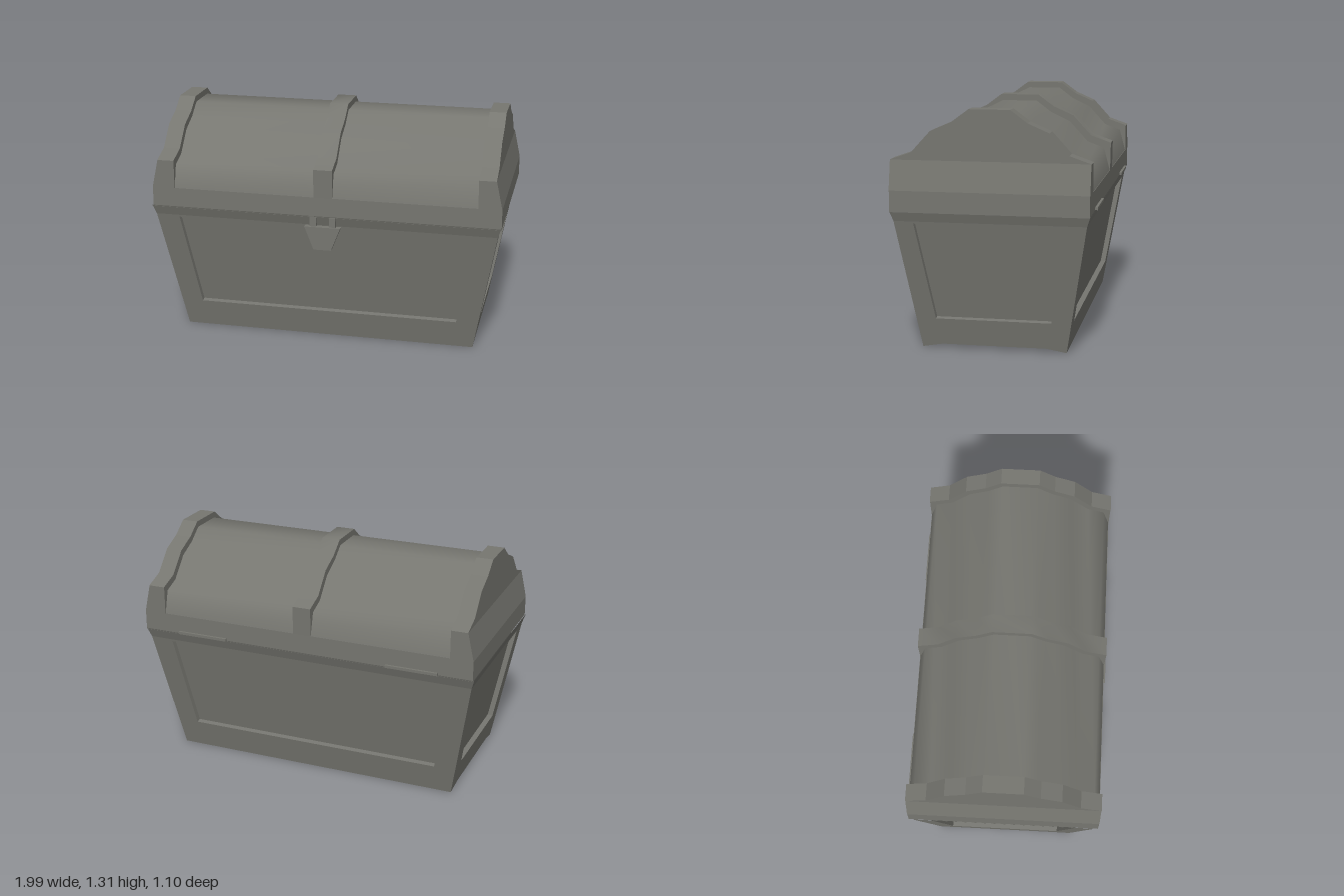
import * as THREE from 'three';
import { toCreasedNormals } from 'three/addons/utils/BufferGeometryUtils.js';

const stone = new THREE.MeshStandardMaterial({ color: 0x767670 });
stone.name = 'stone grey';

function add(parent, name, geometry) {
  const mesh = new THREE.Mesh(geometry, stone);
  mesh.name = name;
  parent.add(mesh);
  return mesh;
}

function box(parent, name, [x0, x1], [y0, y1], [z0, z1]) {
  const mesh = add(parent, name, new THREE.BoxGeometry(x1 - x0, y1 - y0, z1 - z0));
  mesh.position.set((x0 + x1) / 2, (y0 + y1) / 2, (z0 + z1) / 2);
  return mesh;
}

// flat faces from lists of 3D corners, each fanned from its first corner
function facesGeometry(faces) {
  const pos = [];
  for (const f of faces)
    for (let i = 1; i < f.length - 1; i++) pos.push(...f[0], ...f[i], ...f[i + 1]);
  const g = new THREE.BufferGeometry();
  g.setAttribute('position', new THREE.Float32BufferAttribute(pos, 3));
  g.computeVertexNormals();
  return g;
}

function extrude(points, depth) {
  const shape = new THREE.Shape(points.map(([x, y]) => new THREE.Vector2(x, y)));
  return new THREE.ExtrudeGeometry(shape, { depth, bevelEnabled: false });
}

// a symmetric lid profile of [z, y] points, swept from x0 to x1
function lidSweep(half, x0, x1) {
  const points = [...half, ...half.map(([z, y]) => [-z, y]).reverse()];
  return extrude(points, x1 - x0).rotateY(Math.PI / 2).translate(x0, 0, 0);
}

// leaning wall with a framed, sunken panel and a flared upper rim
const BEND = 0.715, RIM = 0.772, SINK = 0.03;
function wallGeometry({ foot, bend, rim, panelLow, panelTop, panelFoot, arch }) {
  const at = (u, y, d = 0) => [u, y, foot[1] + (bend[1] - foot[1]) * y / BEND - d];
  const O = [at(-foot[0], 0), at(foot[0], 0), at(bend[0], BEND), at(-bend[0], BEND)];
  const hole = [[-panelLow, panelFoot], [panelLow, panelFoot], [panelTop, 0.703], [-panelTop, 0.703]];
  const H = hole.map(([u, y]) => at(u, y));
  const S = hole.map(([u, y]) => at(u, y + 0.005, SINK));
  const a = foot[0] * 0.72, A0 = at(-a, arch), A1 = at(a, arch);
  const faces = [
    [H[0], O[0], A0], [H[0], A0, A1, H[1]], [H[1], A1, O[1]], S,
    [O[3], O[2], [rim[0], RIM, rim[1]], [-rim[0], RIM, rim[1]]],
  ];
  for (let i = 0; i < 4; i++) {
    const j = (i + 1) % 4;
    if (i > 0) faces.push([O[i], O[j], H[j], H[i]]);
    faces.push([H[i], H[j], S[j], S[i]]);
  }
  return facesGeometry(faces);
}

export function createModel() {
  const chest = new THREE.Group();
  chest.name = 'chest';

  // body
  const body = new THREE.Group();
  body.name = 'body';
  chest.add(body);
  const longWall = wallGeometry({
    foot: [0.845, 0.395], bend: [0.975, 0.515], rim: [0.993, 0.534],
    panelLow: 0.75, panelTop: 0.84, panelFoot: 0.157, arch: 0,
  });
  const endWall = wallGeometry({
    foot: [0.395, 0.845], bend: [0.515, 0.975], rim: [0.534, 0.993],
    panelLow: 0.315, panelTop: 0.408, panelFoot: 0.167, arch: 0.02,
  });
  ['frontWall', 'leftWall', 'backWall', 'rightWall'].forEach((name, i) => {
    add(body, name, i % 2 ? endWall : longWall).rotation.y = i * Math.PI / 2;
  });

  // underside, slightly raised in the middle
  const under = [[-0.395, 0], [-0.284, 0.02], [0.284, 0.02], [0.395, 0]];
  const X = 0.847;
  add(body, 'underside', facesGeometry([0, 1, 2].map((i) => {
    const [z0, y0] = under[i], [z1, y1] = under[i + 1];
    return [[-X, y0, z0], [X, y0, z0], [X, y1, z1], [-X, y1, z1]];
  })));

  // lid
  const lid = new THREE.Group();
  lid.name = 'lid';
  lid.position.x = 0.005;
  chest.add(lid);
  box(lid, 'lidRim', [-0.99, 0.99], [0.765, 0.88], [-0.532, 0.532]);

  const barrel = [[0.53, 0.88], [0.495, 1.01], [0.4, 1.045], [0.295, 1.16], [0.185, 1.212], [0.1, 1.277]];
  add(lid, 'lidBarrel', toCreasedNormals(lidSweep(barrel, -0.9, 0.9), 1.05));

  const arch = [[0.535, 1.04], [0.42, 1.08], [0.315, 1.195], [0.2, 1.245], [0.11, 1.312]];
  const band = lidSweep([[0.532, 0.88], ...arch], -0.053, 0.053);
  add(lid, 'middleBand', toCreasedNormals(band, 1.05));

  for (const side of [1, -1]) {
    const [x0, x1] = side > 0 ? [0.86, 0.955] : [-0.955, -0.86];
    add(lid, 'endBand', lidSweep(arch, x0, x1));
    const skirt = [[0.86, 0.88], [0.99, 0.88], [0.955, 1.04], [0.86, 1.04]];
    add(lid, 'endBandSkirt', extrude(skirt, 1.066).translate(0, 0, -0.533))
      .rotation.y = side > 0 ? 0 : Math.PI;
  }

  // lock: tapered plate with two prongs
  const lock = new THREE.Group();
  lock.name = 'lock';
  lock.position.x = 0.004;
  chest.add(lock);
  const plate = [[-0.05, 0.58], [0.05, 0.58], [0.102, 0.713], [-0.102, 0.713]];
  add(lock, 'lockPlate', extrude(plate, 0.032).translate(0, 0, 0.518));
  for (const s of [-1, 1])
    box(lock, 'lockProng', [s * 0.055 - 0.018, s * 0.055 + 0.018], [0.7, 0.768], [0.51, 0.539]);

  // hinges along the back
  for (const x of [-0.64, 0.625])
    box(chest, 'hinge', [x - 0.15, x + 0.15], [0.77, 0.785], [-0.546, -0.47]);

  return chest;
}
